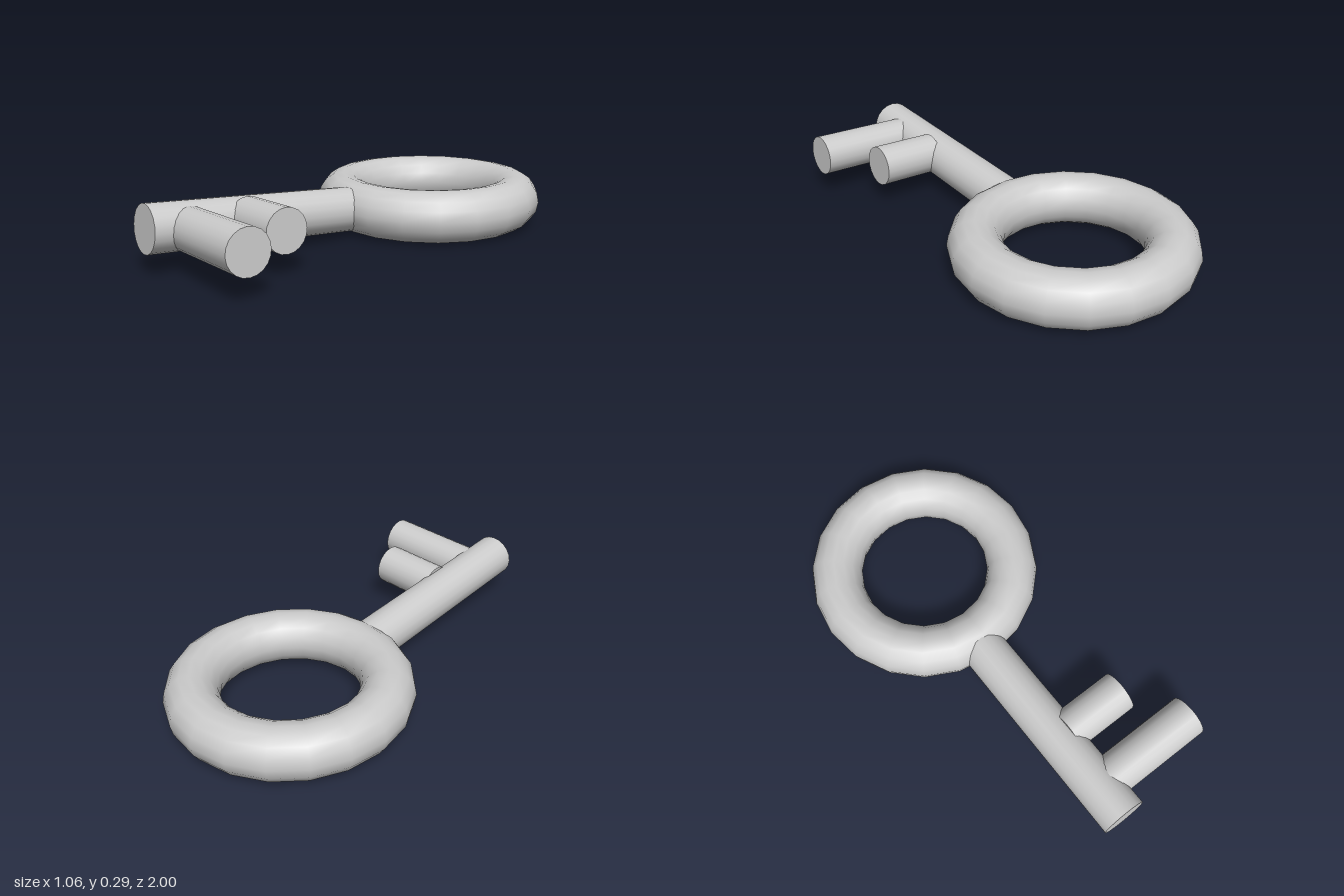
import * as THREE from 'three';

const material = new THREE.MeshStandardMaterial({ color: 0xcccccc });

// Capped round bar running between two points
function bar(name, from, to, radius) {
  const a = new THREE.Vector3(...from);
  const b = new THREE.Vector3(...to);
  const dir = b.clone().sub(a);
  const mesh = new THREE.Mesh(new THREE.CylinderGeometry(radius, radius, dir.length(), 20), material);
  mesh.name = name;
  mesh.position.copy(a).add(b).multiplyScalar(0.5);
  mesh.quaternion.setFromUnitVectors(new THREE.Vector3(0, 1, 0), dir.normalize());
  return mesh;
}

export function createModel() {
  const key = new THREE.Group();
  key.name = 'key';

  // Ring handle lying flat
  const ring = new THREE.Mesh(new THREE.TorusGeometry(0.414, 0.118, 16, 20).rotateX(Math.PI / 2), material);
  ring.name = 'ringHandle';
  ring.position.set(0, 0.119, -0.468);
  key.add(ring);

  // Shaft, rising slightly toward the front
  key.add(bar('shaft', [-0.017, 0.114, -0.06], [-0.017, 0.19, 0.992], 0.102));

  // Two teeth on the left side, tilted slightly up
  key.add(bar('frontTooth', [0, 0.171, 0.824], [0.492, 0.192, 0.824], 0.094));
  key.add(bar('rearTooth', [0.03, 0.173, 0.558], [0.326, 0.186, 0.558], 0.094));

  return key;
}
